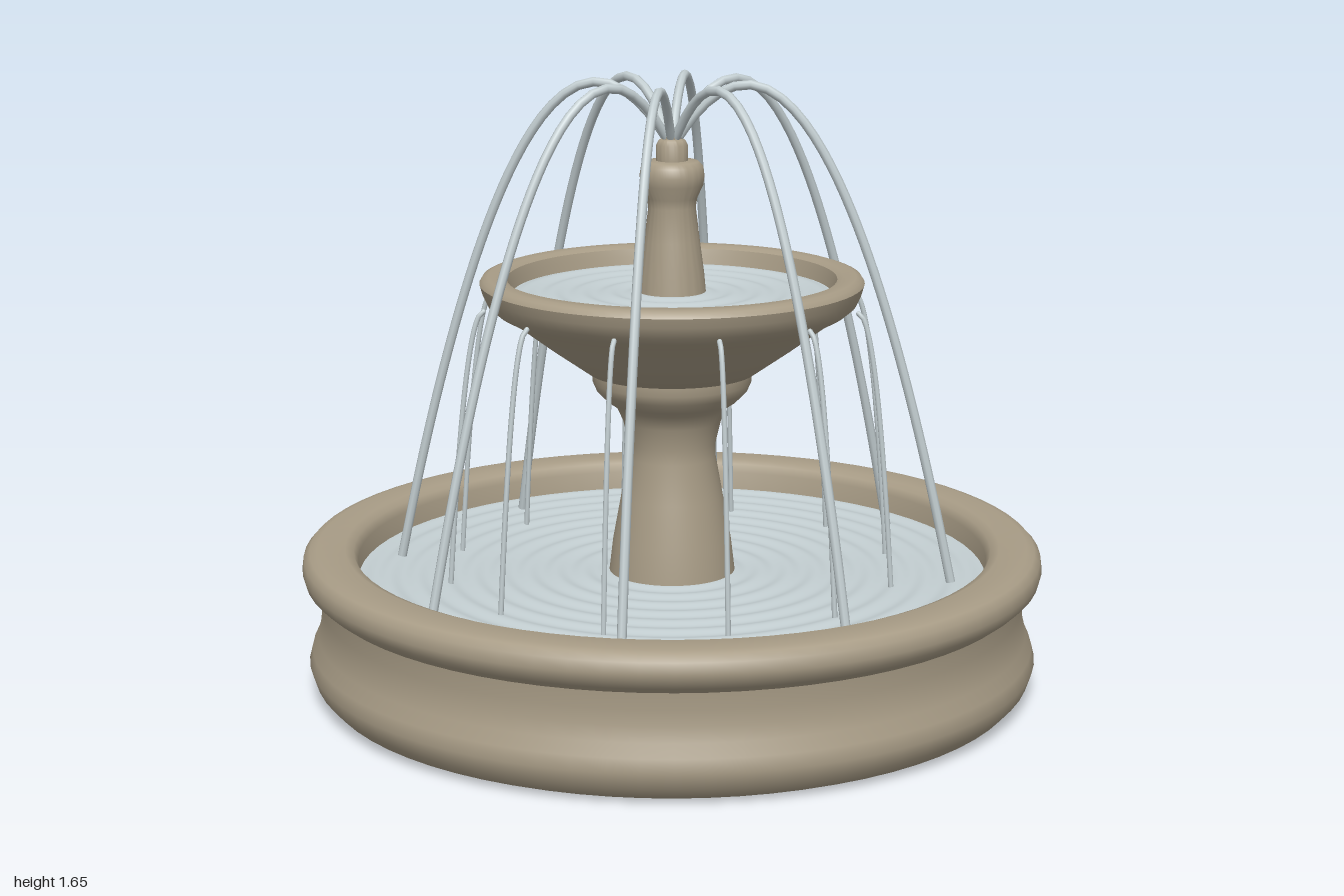
import * as THREE from 'three';
import { toCreasedNormals } from 'three/addons/utils/BufferGeometryUtils.js';

const SEGMENTS = 72;

export function createModel() {
  const stone = new THREE.MeshStandardMaterial({ color: 0xa89c86 });
  stone.name = 'stone';
  const water = new THREE.MeshStandardMaterial({ color: 0xc3ced1 });
  water.name = 'water';

  const fountain = new THREE.Group();
  fountain.name = 'fountain';

  const add = (name, geometry, material, parent = fountain) => {
    const mesh = new THREE.Mesh(geometry, material);
    mesh.name = name;
    parent.add(mesh);
    return mesh;
  };

  // Turned stone part from [radius, height] pairs, bottom to top on the outside
  const turned = (name, profile) => {
    const points = profile.map(([r, y]) => new THREE.Vector2(r, y));
    add(name, toCreasedNormals(new THREE.LatheGeometry(points, SEGMENTS), 0.75), stone);
  };

  turned('lowerBasin', [
    [0, 0], [0.91, 0], [0.945, 0.015], [0.972, 0.045], [0.987, 0.09], [0.978, 0.125],
    [0.962, 0.16], [0.953, 0.2], [0.95, 0.24], [0.953, 0.285], [0.975, 0.302],
    [0.993, 0.32], [1, 0.345], [0.996, 0.375], [0.98, 0.392], [0.96, 0.397],
    [0.885, 0.397], [0.862, 0.388], [0.85, 0.365], [0.85, 0.2], [0, 0.2],
  ]);

  turned('pedestal', [
    [0.18, 0.2], [0.172, 0.3], [0.16, 0.4], [0.138, 0.52], [0.118, 0.63], [0.118, 0.67],
    [0.132, 0.73], [0.15, 0.77], [0.175, 0.787], [0.203, 0.815], [0.214, 0.84],
    [0.214, 0.87], [0, 0.87],
  ]);

  turned('upperBowl', [
    [0, 0.866], [0.225, 0.866], [0.33, 0.94], [0.43, 1.015], [0.468, 1.035],
    [0.492, 1.055], [0.506, 1.085], [0.513, 1.11], [0.505, 1.123], [0.49, 1.128],
    [0.455, 1.128], [0.44, 1.12], [0.434, 1.1], [0.42, 1.04], [0, 1.0],
  ]);

  turned('finial', [
    [0.095, 1.03], [0.086, 1.13], [0.074, 1.22], [0.063, 1.31], [0.067, 1.335],
    [0.083, 1.37], [0.086, 1.395], [0.082, 1.42], [0.07, 1.432], [0.042, 1.434],
    [0.042, 1.475], [0.036, 1.487], [0.028, 1.492], [0.028, 1.5], [0, 1.5],
  ]);

  // Rippled water surfaces, swept from the rim to the centre
  const pool = (name, radius, height) => {
    const points = [];
    const steps = Math.round(radius * 120);
    for (let i = 0; i <= steps; i++) {
      const r = radius * (1 - i / steps);
      points.push(new THREE.Vector2(r, height + 0.0035 * Math.sin((r / 0.075) * Math.PI * 2)));
    }
    add(name, new THREE.LatheGeometry(points, SEGMENTS), water);
  };
  pool('lowerWater', 0.852, 0.31);
  pool('upperWater', 0.436, 1.08);

  // Ring of falling water: path(t) gives [radius, height]
  const ring = (name, count, offset, thickness, path) => {
    const points = [];
    for (let i = 0; i <= 16; i++) points.push(new THREE.Vector3(...path(i / 16), 0));
    const tube = new THREE.TubeGeometry(new THREE.CatmullRomCurve3(points), 40, thickness, 8);
    const cap = new THREE.SphereGeometry(thickness, 8, 6);
    const group = new THREE.Group();
    group.name = name + 's';
    for (let i = 0; i < count; i++) {
      const stream = new THREE.Group();
      stream.name = name;
      stream.rotation.y = offset + (i / count) * Math.PI * 2;
      add(name + 'Arc', tube, water, stream);
      add(name + 'Start', cap, water, stream).position.copy(points[0]);
      group.add(stream);
    }
    fountain.add(group);
  };

  // Eight arching jets from the nozzle
  ring('jet', 8, 0, 0.0125, (t) => {
    const r = 0.01 + 0.752 * t;
    return [r, 1.638 - 4.25 * (r - 0.2) ** 2];
  });

  // Twelve thin streams spilling from the bowl rim
  ring('spill', 12, THREE.MathUtils.degToRad(8), 0.007, (t) => [
    0.51 + 0.1 * t, 1.05 - 0.75 * t * t,
  ]);

  return fountain;
}
